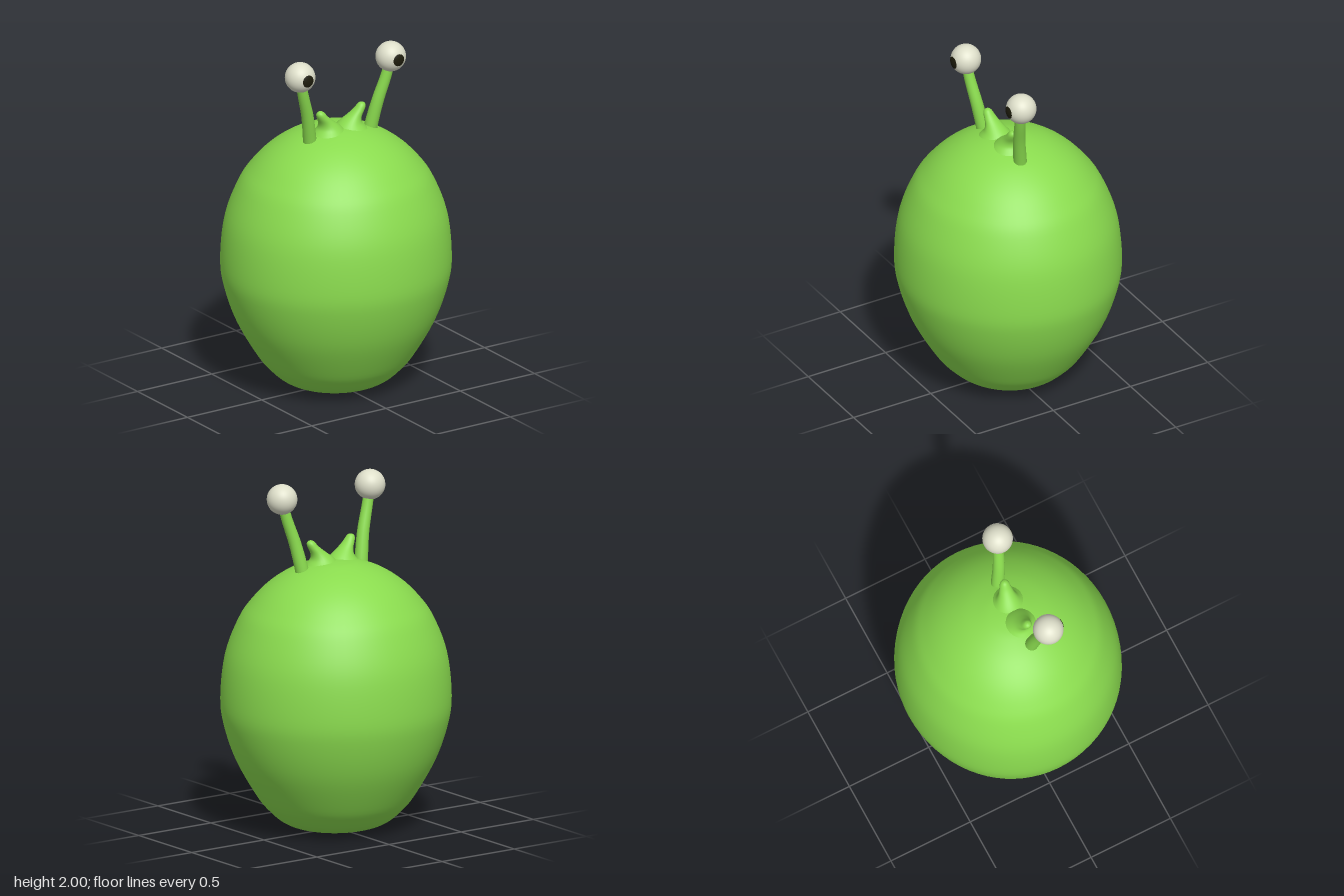
import * as THREE from 'three';
import { mergeVertices } from 'three/addons/utils/BufferGeometryUtils.js';

const skin = new THREE.MeshStandardMaterial({ name: 'green skin', color: 0x8adb4e });
const eyeWhite = new THREE.MeshStandardMaterial({ name: 'eye white', color: 0xdedfca });
const pupilDark = new THREE.MeshStandardMaterial({ name: 'dark pupil', color: 0x1e1c0c });

function mesh(name, geometry, material) {
  const m = new THREE.Mesh(geometry, material);
  m.name = name;
  return m;
}

const toPoints = (pairs) => pairs.map(([x, y]) => new THREE.Vector2(x, y));

// Egg-shaped body with a flattened base, slightly narrower front to back
function makeBody() {
  const profile = new THREE.SplineCurve(toPoints([
    [0, 0.003], [0.12, 0.008], [0.23, 0.024], [0.31, 0.056], [0.38, 0.115], [0.45, 0.2],
    [0.565, 0.4], [0.635, 0.6], [0.655, 0.76], [0.63, 1.0], [0.555, 1.2], [0.48, 1.31],
    [0.385, 1.405], [0.27, 1.48], [0.15, 1.526], [0.07, 1.541], [0, 1.545],
  ])).getPoints(80);
  profile[0].x = profile[80].x = 0;
  const g = new THREE.LatheGeometry(profile, 72);
  g.scale(1, 1, 0.963);
  return g;
}

// Small flared horn: stacked rings that lean outward and forward as they rise
function makeHorn(side) {
  const profile = new THREE.SplineCurve(toPoints([
    [0.125, 1.49], [0.083, 1.535], [0.063, 1.56], [0.045, 1.59], [0.034, 1.62],
    [0.026, 1.645], [0.015, 1.659], [0, 1.664],
  ])).getPoints(28);
  profile[28].x = 0;
  let g = new THREE.LatheGeometry(profile, 28);
  const p = g.attributes.position;
  for (let i = 0; i < p.count; i++) {
    const lean = THREE.MathUtils.smoothstep(p.getY(i), 1.54, 1.66);
    p.setX(i, p.getX(i) + side * (0.068 + 0.07 * lean));
    p.setZ(i, p.getZ(i) + 0.035 + 0.015 * lean);
  }
  g.deleteAttribute('normal');
  g.deleteAttribute('uv');
  g = mergeVertices(g, 1e-5);
  g.computeVertexNormals();
  return g;
}

// Curved eye stalk, tapering toward the eye
function makeStalk(side) {
  const path = new THREE.CatmullRomCurve3([
    [0.2, 1.47, 0.038], [0.21, 1.53, 0.046], [0.237, 1.66, 0.066],
    [0.276, 1.79, 0.084], [0.3, 1.88, 0.093],
  ].map(([x, y, z]) => new THREE.Vector3(side * x, y, z)));
  const steps = 24, sides = 20;
  const g = new THREE.TubeGeometry(path, steps, 0.039, sides);
  const p = g.attributes.position, v = new THREE.Vector3();
  for (let i = 0; i < p.count; i++) {
    const t = Math.floor(i / (sides + 1)) / steps;
    const c = path.getPointAt(t);
    v.fromBufferAttribute(p, i).sub(c).multiplyScalar(1 - 0.25 * t).add(c);
    p.setXYZ(i, v.x, v.y, v.z);
  }
  return g;
}

export function createModel() {
  const model = new THREE.Group();
  model.name = 'stalkEyedCreature';
  model.add(mesh('body', makeBody(), skin));

  for (const side of [1, -1]) {
    const label = side > 0 ? 'left' : 'right';
    model.add(mesh(label + 'Horn', makeHorn(side), skin));
    model.add(mesh(label + 'Stalk', makeStalk(side), skin));

    // Eyeball with a thin pupil cap facing forward
    const eye = new THREE.Group();
    eye.name = label + 'Eye';
    eye.position.set(side * 0.305, 1.914, 0.094);
    eye.add(mesh(label + 'Eyeball', new THREE.SphereGeometry(0.086, 36, 24), eyeWhite));
    const cap = new THREE.SphereGeometry(0.0885, 28, 6, 0, Math.PI * 2, 0, 0.41);
    cap.rotateX(Math.PI / 2);
    eye.add(mesh(label + 'Pupil', cap, pupilDark));
    model.add(eye);
  }
  return model;
}
